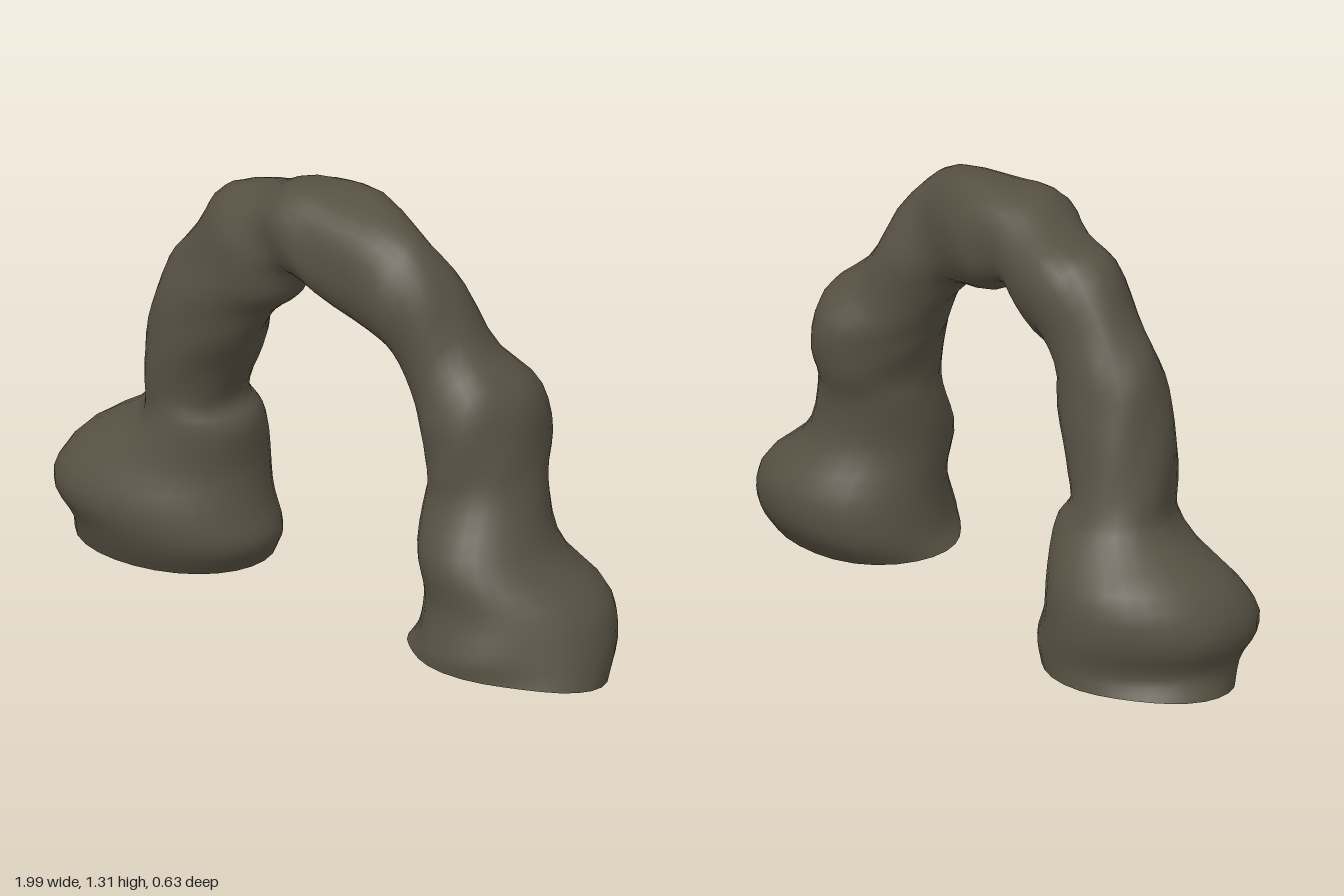
import * as THREE from 'three';

// Ring sections from one foot to the other: outer x, y, inner x, y, back z, front z
const SECTIONS = [
  [-1.0, 0.04, -0.35, 0.03, -0.32, 0.18],
  [-0.97, 0.1, -0.31, 0.1, -0.32, 0.22],
  [-1.0, 0.2, -0.34, 0.2, -0.33, 0.24],
  [-0.94, 0.33, -0.37, 0.32, -0.31, 0.2],
  [-0.77, 0.47, -0.38, 0.46, -0.22, 0.16],
  [-0.73, 0.58, -0.43, 0.52, -0.18, 0.15],
  [-0.68, 0.78, -0.41, 0.62, -0.15, 0.16],
  [-0.64, 0.92, -0.31, 0.75, -0.14, 0.17],
  [-0.56, 1.05, -0.24, 0.85, -0.13, 0.18],
  [-0.44, 1.2, -0.16, 0.92, -0.13, 0.18],
  [-0.27, 1.23, -0.11, 1.02, -0.11, 0.16],
  [-0.13, 1.31, -0.06, 1.03, -0.11, 0.19],
  [0.02, 1.31, 0.02, 0.98, -0.12, 0.19],
  [0.3, 1.27, 0.21, 0.93, -0.08, 0.18],
  [0.42, 1.17, 0.28, 0.85, -0.11, 0.16],
  [0.52, 0.96, 0.33, 0.75, -0.13, 0.16],
  [0.64, 0.83, 0.37, 0.68, -0.18, 0.18],
  [0.68, 0.68, 0.41, 0.58, -0.19, 0.17],
  [0.71, 0.55, 0.41, 0.5, -0.16, 0.17],
  [0.78, 0.37, 0.4, 0.36, -0.17, 0.27],
  [0.93, 0.23, 0.38, 0.22, -0.25, 0.28],
  [0.98, 0.12, 0.35, 0.1, -0.24, 0.32],
  [1.0, 0.03, 0.32, 0.05, -0.16, 0.32],
];

// Local swellings and hollows: x, y, z, reach, push
const LUMPS = [
  [-0.9, 0.26, 0.15, 0.18, 0.05], // front lobe of one foot
  [-0.77, 0.46, 0.1, 0.13, -0.05], // neck above that lobe
  [-0.92, 0.1, -0.25, 0.2, -0.035], // outer back of the same foot
  [-0.42, 0.18, -0.22, 0.2, -0.03], // inner back of the same foot
  [-0.5, 1.13, -0.1, 0.2, 0.015], // shoulder, back
  [-0.52, 1.1, 0.15, 0.18, -0.04], // shoulder, front
  [-0.28, 1.19, -0.1, 0.13, 0.04], // filled notch behind the crown
  [-0.26, 0.88, -0.08, 0.13, -0.04], // hollow under the shoulder
  [-0.42, 0.65, -0.08, 0.12, 0.03], // swelling inside the leg
  [0.07, 1.29, -0.08, 0.13, 0.025], // crown, back
  [0.38, 1.2, -0.1, 0.17, -0.035], // hollow shoulder, back
  [0.3, 1.05, 0.18, 0.13, 0.03], // knob under the crown
  [0.6, 0.77, -0.17, 0.15, 0.03], // knee, back
  [0.43, 0.53, 0.12, 0.17, 0.045], // swelling inside the other leg
  [0.45, 0.15, -0.15, 0.18, 0.025], // inner back of the other foot
  [0.9, 0.08, 0.25, 0.18, -0.04], // flattened front corner
  [0.4, 0.04, 0.22, 0.15, -0.03], // flattened inner corner
];

// Smooth curve through chosen columns of the section list
function curveThrough(pick) {
  return new THREE.CatmullRomCurve3(SECTIONS.map(pick), false, 'centripetal');
}

function archGeometry(rings = 70, sides = 30) {
  const inner = curveThrough((s) => new THREE.Vector3(s[2], s[3], 0));
  const outer = curveThrough((s) => new THREE.Vector3(s[0], s[1], 0));
  const depth = curveThrough((s, i) => new THREE.Vector3(s[4], s[5], i * 0.1));
  const positions = [], index = [];
  for (let i = 0; i <= rings; i++) {
    const t = i / rings;
    const o = outer.getPoint(t), n = inner.getPoint(t), d = depth.getPoint(t);
    const mid = o.clone().add(n).multiplyScalar(0.5).setZ((d.x + d.y) / 2);
    const half = o.sub(n).multiplyScalar(0.5);
    const edge = Math.min(t, 1 - t);
    const rim = Math.max(0, 1 - edge * 22);
    const rough = 0.018 * THREE.MathUtils.smoothstep(edge, 0.12, 0.25);
    // sections grow slightly boxier towards the crown
    const boxy = 1 - 0.15 * THREE.MathUtils.smoothstep(edge, 0.35, 0.48);
    for (let j = 0; j < sides; j++) {
      const a = (j / sides) * Math.PI * 2;
      const c = Math.cos(a), s = Math.sin(a);
      // weathered surface, smoother on the feet
      const bump = 1 + rough * (Math.sin(3 * a + t * 41) * Math.sin(t * 57 + a) + 0.7 * Math.sin(5 * a - t * 73));
      const p = mid.clone().addScaledVector(half, Math.sign(c) * Math.abs(c) ** boxy * bump);
      p.z += ((d.y - d.x) / 2) * Math.sign(s) * Math.abs(s) ** boxy * bump;
      const out = p.clone().sub(mid).normalize();
      let push = 0;
      for (const [x, y, z, reach, amount] of LUMPS) {
        const q = ((p.x - x) ** 2 + (p.y - y) ** 2 + (p.z - z) ** 2) / reach ** 2;
        push += amount * Math.exp(-q);
      }
      p.addScaledVector(out, push);
      // the open rims lean opposite ways
      p.y += rim * (t < 0.5 ? -0.06 * (p.z + 0.2) : 0.1 * (p.z - 0.15));
      positions.push(THREE.MathUtils.clamp(p.x, -1, 1), Math.max(0.002, p.y), p.z);
      if (i < rings) {
        const k = (j + 1) % sides, r0 = i * sides, r1 = r0 + sides;
        index.push(r0 + j, r0 + k, r1 + k, r0 + j, r1 + k, r1 + j);
      }
    }
  }
  const geometry = new THREE.BufferGeometry();
  geometry.setAttribute('position', new THREE.Float32BufferAttribute(positions, 3));
  geometry.setIndex(index);
  geometry.computeVertexNormals();
  return geometry;
}

export function createModel() {
  const group = new THREE.Group();
  group.name = 'rockArch';
  const rock = new THREE.MeshStandardMaterial({ color: 0x575143, side: THREE.DoubleSide });
  rock.name = 'dark rock';
  // Hollow stone arch, open under both feet
  const arch = new THREE.Mesh(archGeometry(), rock);
  arch.name = 'archShell';
  group.add(arch);
  return group;
}
